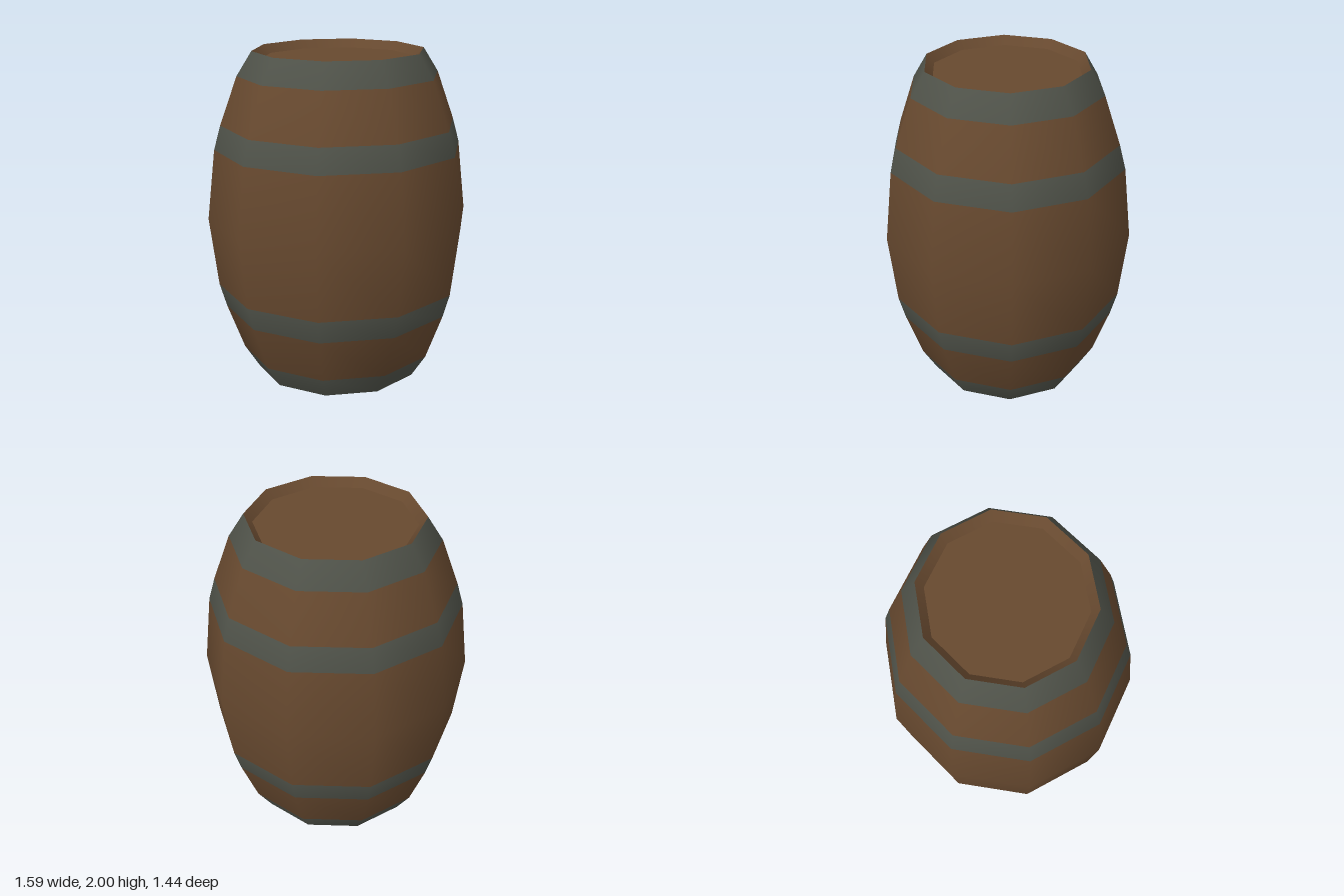
import * as THREE from 'three';

const SIDES = 10;
const DEPTH = 0.95; // slightly oval in plan

// Ten-sided turned surface with a corner on the x axis
function turned(profile) {
  const points = profile.map(([r, y]) => new THREE.Vector2(r, y));
  return new THREE.LatheGeometry(points, SIDES, Math.PI / 2).scale(1, 1, DEPTH);
}

// One horizontal band of a turned surface, keeping its smooth normals
function bandOf(geometry, row, rows) {
  const source = geometry.index.array;
  const index = [];
  for (let side = 0; side < SIDES; side++) {
    const start = (side * rows + row) * 6;
    index.push(...source.slice(start, start + 6));
  }
  return geometry.clone().setIndex(index);
}

export function createModel() {
  const wood = new THREE.MeshStandardMaterial({ name: 'brown wood', color: 0x67492f });
  const iron = new THREE.MeshStandardMaterial({ name: 'grey iron', color: 0x50534a });

  const barrel = new THREE.Group();
  barrel.name = 'barrel';
  const add = (name, geometry, material) => {
    const mesh = new THREE.Mesh(geometry, material);
    mesh.name = name;
    barrel.add(mesh);
    return mesh;
  };

  // Bulging body: iron hoops alternate with wooden staves
  const lower = [[0.51, 0], [0.6, 0.143], [0.704, 0.43], [0.745, 0.575]];
  const upper = lower.map(([r, y]) => [r, 2 - y]).reverse();
  const profile = [...lower, [0.795, 1], ...upper];
  const body = turned(profile);
  const bands = [
    ['bottomHoop', iron], ['lowerStaves', wood], ['lowerHoop', iron],
    ['lowerMiddleStaves', wood], ['upperMiddleStaves', wood],
    ['upperHoop', iron], ['upperStaves', wood], ['topHoop', iron],
  ];
  bands.forEach(([name, material], row) => add(name, bandOf(body, row, bands.length), material));

  // Recessed ends: sloping inner rim and flat lid
  const lid = new THREE.CircleGeometry(0.463, SIDES).scale(1, DEPTH, 1);
  add('topRim', turned([[0.51, 2], [0.463, 1.95]]), wood);
  add('topLid', lid.clone().rotateX(-Math.PI / 2).translate(0, 1.95, 0), wood);
  add('bottomRim', turned([[0.463, 0.05], [0.51, 0]]), wood);
  add('bottomLid', lid.clone().rotateX(Math.PI / 2).translate(0, 0.05, 0), wood);

  return barrel;
}
